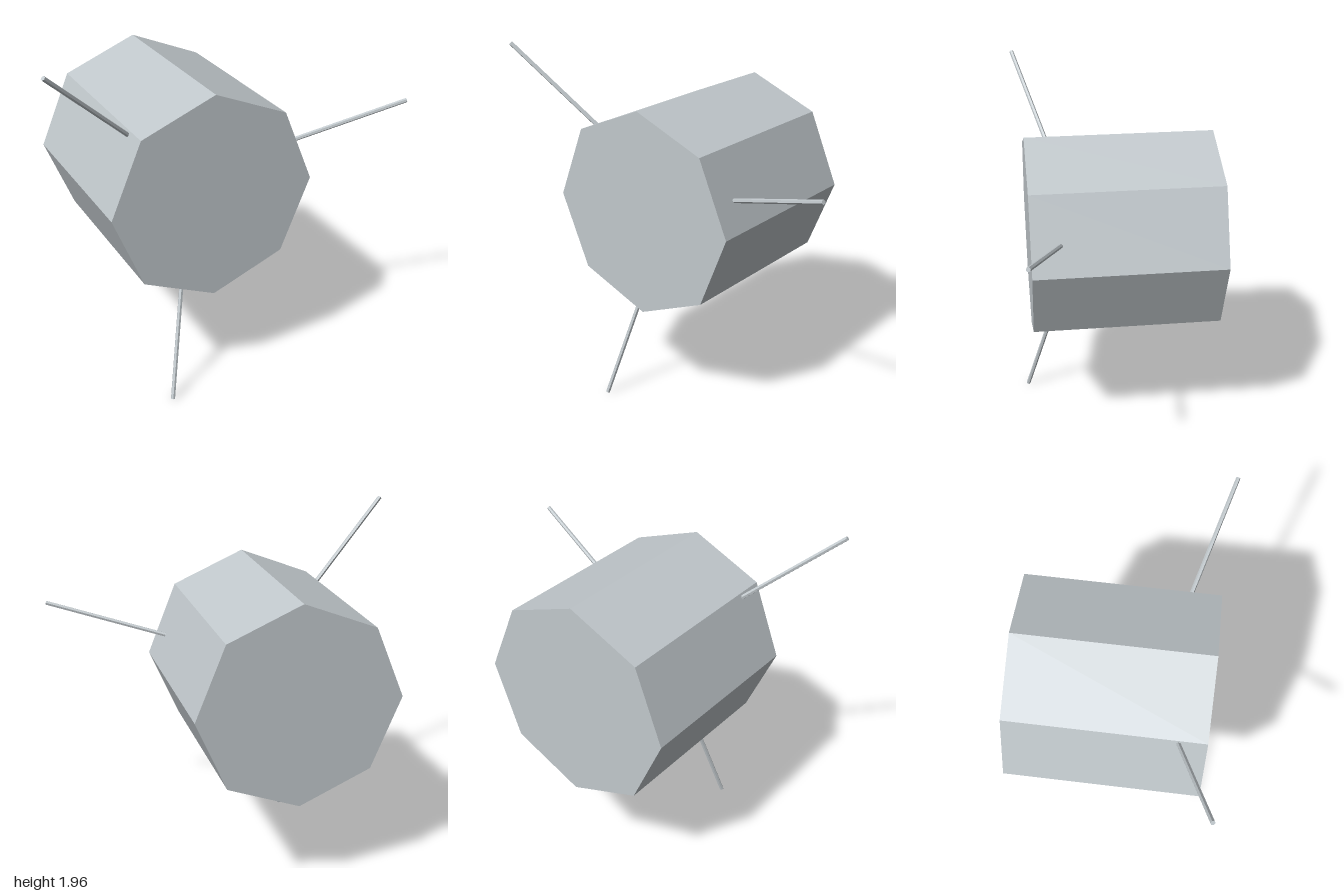
import * as THREE from 'three';

export function createModel() {
  const model = new THREE.Group();
  model.name = 'satellite';

  const metal = new THREE.MeshStandardMaterial({ color: 0xc1c8cc, flatShading: true });
  metal.name = 'pale grey metal';

  // Everything is arranged around the axis of the body, which runs along z
  const axis = new THREE.Vector2(-0.128, 1.152);

  // Octagonal drum with a corner at the top
  const drum = new THREE.CylinderGeometry(0.562, 0.562, 1.022, 8).rotateX(Math.PI / 2);
  const body = new THREE.Mesh(drum, metal);
  body.name = 'body';
  body.position.set(axis.x, axis.y, -0.022);
  model.add(body);

  // Three thin antennas, 120 degrees apart, leaning towards the front
  const up = new THREE.Vector3(0, 1, 0);
  const radial = (angle, r, z) =>
    new THREE.Vector3(axis.x + r * Math.cos(angle), axis.y + r * Math.sin(angle), z);
  for (let i = 0; i < 3; i++) {
    const angle = THREE.MathUtils.degToRad(17.2 + i * 120);
    const root = radial(angle, 0.49, 0.329);
    const tip = radial(angle, 1.176, 0.519);
    const along = tip.clone().sub(root);
    const antenna = new THREE.Mesh(new THREE.CylinderGeometry(0.012, 0.012, along.length(), 6), metal);
    antenna.name = `antenna${i + 1}`;
    antenna.position.copy(root).add(tip).multiplyScalar(0.5);
    antenna.quaternion.setFromUnitVectors(up, along.normalize());
    model.add(antenna);
  }

  return model;
}
